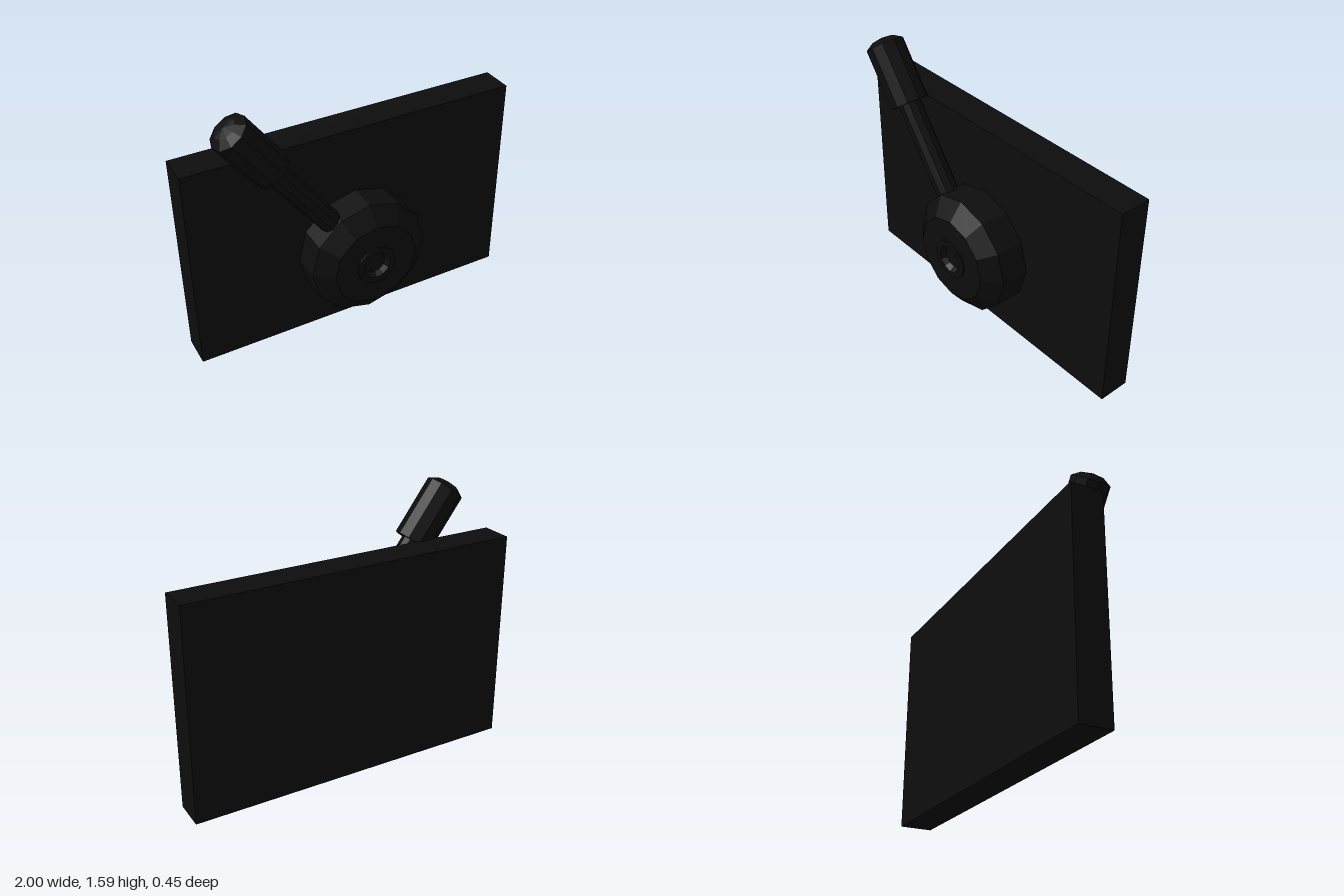
import * as THREE from 'three';

const material = new THREE.MeshStandardMaterial({ color: 0x0d0d0d, flatShading: true });

// Faceted solid turned around the y axis from [radius, height] pairs, bottom to top
function turned(name, sides, profile) {
  const points = profile.map(([r, h]) => new THREE.Vector2(r, h));
  const mesh = new THREE.Mesh(new THREE.LatheGeometry(points, sides, Math.PI / 2), material);
  mesh.name = name;
  return mesh;
}

export function createModel() {
  const model = new THREE.Group();
  model.name = 'wallLever';
  const hubY = 0.507;

  // Back plate
  const plate = new THREE.Mesh(new THREE.BoxGeometry(2, 1.27, 0.19), material);
  plate.name = 'backPlate';
  plate.position.set(0, 0.635, -0.13);
  model.add(plate);

  // Round hub with a chamfered front, its axis along z
  const hub = new THREE.Group();
  hub.name = 'hub';
  hub.position.y = hubY;
  hub.rotation.x = Math.PI / 2;
  hub.add(turned('hubBody', 12, [
    [0, -0.04], [0.363, -0.04], [0.363, 0.135], [0.26, 0.215], [0.122, 0.215],
  ]));
  // Raised centre ring with a shallow recess
  hub.add(turned('hubCap', 12, [
    [0.122, 0.215], [0.122, 0.225], [0.085, 0.225], [0.065, 0.195], [0, 0.195],
  ]));
  model.add(hub);

  // Lever reaching out of the hub, up and to the model's right
  const lever = new THREE.Group();
  lever.name = 'lever';
  lever.position.set(0, hubY, 0.061);
  lever.rotation.z = 0.639;
  lever.add(turned('leverShaft', 10, [[0, 0.2], [0.067, 0.2], [0.067, 0.95], [0, 0.95]]));
  // Grip with a flat lower end and a low domed tip
  lever.add(turned('leverGrip', 10, [
    [0, 0.908], [0.113, 0.908], [0.113, 1.265], [0.065, 1.295], [0, 1.305],
  ]));
  model.add(lever);

  return model;
}
